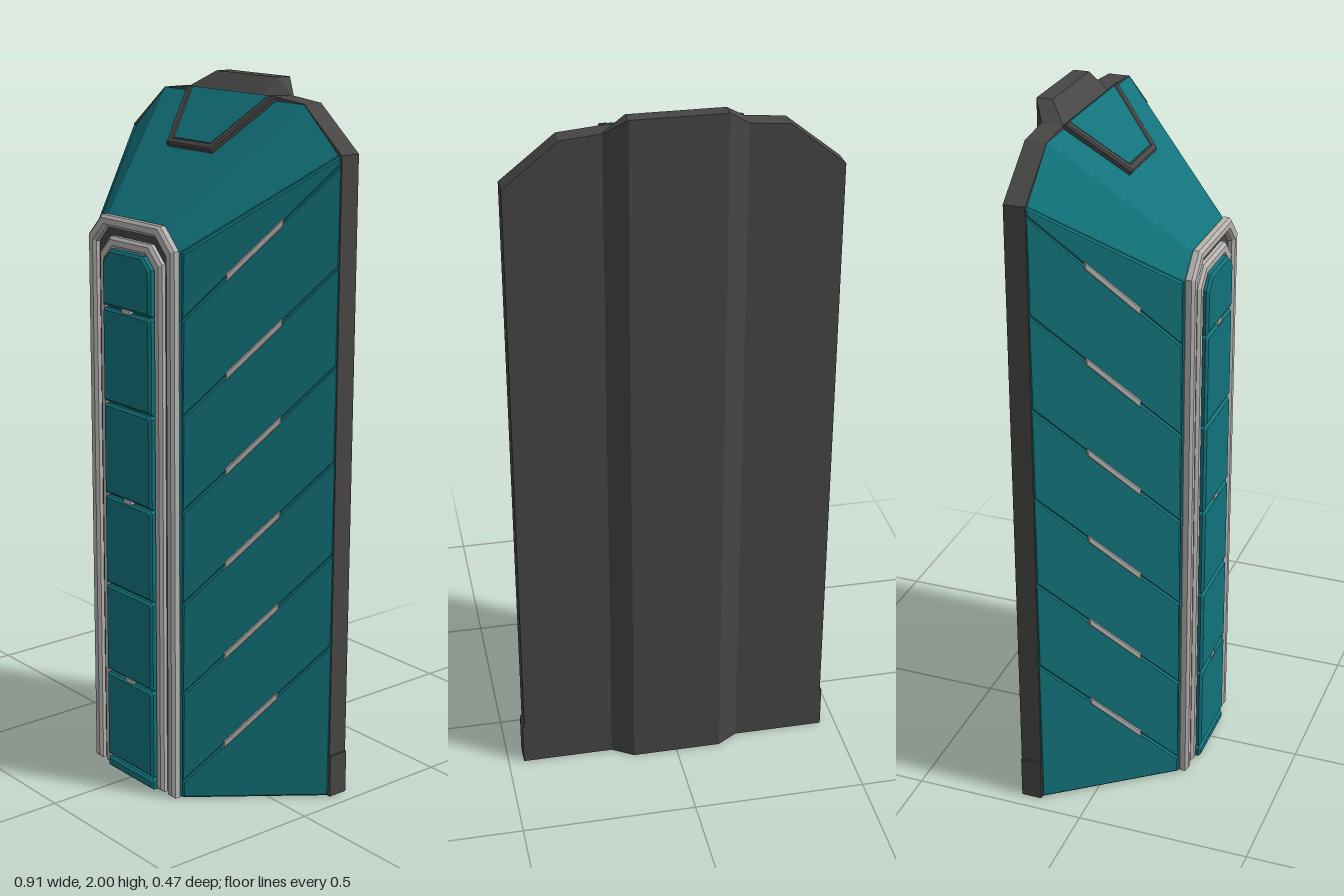
import * as THREE from 'three';

const teal = new THREE.MeshStandardMaterial({ color: 0x11727a });
teal.name = 'teal';
const dark = new THREE.MeshStandardMaterial({ color: 0x474645 });
dark.name = 'darkGrey';
const light = new THREE.MeshStandardMaterial({ color: 0xb6b3b0 });
light.name = 'lightGrey';

// Joins rings of equal length with flat quads and closes both ends
function loft(rings) {
  const pos = [];
  const tri = (...pts) => pts.forEach((p) => pos.push(...p));
  const n = rings[0].length;
  for (let r = 0; r + 1 < rings.length; r++) {
    const a = rings[r], b = rings[r + 1];
    for (let i = 0; i < n; i++) {
      const j = (i + 1) % n;
      tri(a[i], b[i], b[j]);
      tri(a[i], b[j], a[j]);
    }
  }
  const first = rings[0], last = rings[rings.length - 1];
  for (let i = 1; i + 1 < n; i++) {
    tri(first[0], first[i], first[i + 1]);
    tri(last[0], last[i + 1], last[i]);
  }
  const g = new THREE.BufferGeometry();
  g.setAttribute('position', new THREE.Float32BufferAttribute(pos, 3));
  g.computeVertexNormals();
  return g;
}

// Plate with chamfered front edges, spanning z0 to z1 in its own frame
function plate(points, z0, z1, bevel) {
  const shape = new THREE.Shape(points.map(([x, y]) => new THREE.Vector2(x, y)));
  const g = new THREE.ExtrudeGeometry(shape, {
    depth: z1 - z0 - 2 * bevel, bevelEnabled: true, bevelThickness: bevel,
    bevelSize: bevel, bevelOffset: -bevel, bevelSegments: 1,
  });
  return g.translate(0, 0, z0 + bevel);
}

// Arch outline standing on the floor, with chamfered top corners
const arch = (w, top, cut, y0 = 0) => [
  [w, y0], [w, top - cut], [w - cut, top], [cut - w, top], [-w, top - cut], [-w, y0],
];

export function createModel() {
  const model = new THREE.Group();
  const add = (name, geometry, material, parent = model) => {
    const m = new THREE.Mesh(geometry, material);
    m.name = name;
    parent.add(m);
    return m;
  };

  // Back plate: cross-sections from left to right
  const stations = [
    [0.45, 1.825, 1.825, -0.197], [0.3, 1.945, 1.945, -0.197],
    [0.19, 1.955, 1.955, -0.197], [0.13, 1.955, 2.0, -0.235],
  ];
  const section = (s) => ([x, front, back, z]) => [
    [s * x, 0, -0.137], [s * x, 0, z], [s * x, back, z],
    [s * x, back, -0.19], [s * x, front, -0.137],
  ];
  add('backPlate', loft([...stations.map(section(1)), ...stations.slice().reverse().map(section(-1))]), dark);
  for (const s of [1, -1]) {
    const foot = add('plateFoot', new THREE.BoxGeometry(0.01, 0.125, 0.06), dark);
    foot.position.set(s * 0.45, 0.0625, -0.167);
  }

  // Body: tapers from the wide back to the narrow front
  const ring = (w, shoulder, tw, top, z) => [
    [-w, 0, z], [w, 0, z], [w, shoulder, z], [tw, top, z], [-tw, top, z], [-w, shoulder, z],
  ];
  add('body', loft([
    ring(0.187, 1.57, 0.13, 1.63, 0.197),
    ring(0.437, 1.825, 0.3, 1.945, -0.138),
  ]), teal);

  // Side cladding: slanted panels with light inlays in the gaps
  const L = Math.hypot(0.25, 0.334), rise = 0.41, pitch = 0.268, seams = 6;
  for (const s of [1, -1]) {
    const side = new THREE.Group();
    side.name = s > 0 ? 'leftCladding' : 'rightCladding';
    const frame = new THREE.Matrix4().makeBasis(
      new THREE.Vector3(0.25 / L, 0, (-s * 0.334) / L),
      new THREE.Vector3(0, 1, 0),
      new THREE.Vector3((s * 0.334) / L, 0, 0.25 / L),
    ).setPosition(s * 0.2, 0, 0.197);
    const onSide = (name, pts, z0, z1, bevel, mat) =>
      add(name, plate(pts.map(([u, y]) => [s * u, y]), z0, z1, bevel).applyMatrix4(frame), mat, side);
    for (let k = 0; k <= seams; k++) {
      const low = 0.05 + (k - 1) * pitch, high = 0.05 + k * pitch;
      const a = k === 0 ? [0, 0] : [low, low + rise];
      const b = k === seams ? [1.57, 1.825] : [high, high + rise];
      onSide('sidePanel', [[0, a[0]], [L, a[1]], [L, b[1]], [0, b[0]]], -0.016, 0, 0.006, teal);
      if (k === seams) continue;
      const at = (f, d) => [f * L, high + f * rise + d];
      onSide('sideInlay', [at(0.28, -0.011), at(0.64, -0.011), at(0.64, 0.011), at(0.28, 0.011)],
        -0.014, 0.004, 0.003, light);
    }
    model.add(side);
  }

  // Front trim: two nested arches over a dark backing
  add('trimBacking', plate(arch(0.175, 1.62, 0.05), 0.19, 0.203, 0.002), dark);
  const band = (w, top, cut, t) => [...arch(w, top, cut), ...arch(w - t, top - t, cut - t * 0.4).reverse()];
  add('outerTrim', plate(band(0.19, 1.635, 0.06, 0.032), 0.19, 0.222, 0.008), light);
  add('innerTrim', plate(band(0.138, 1.58, 0.048, 0.032), 0.19, 0.222, 0.008), light);

  // Front panels, stacked, with small light clips on every second gap
  const gaps = [0, 0.035, 0.303, 0.572, 0.842, 1.112, 1.385];
  add('panelBacking', plate(arch(0.1, 1.54, 0.03), 0.195, 0.22, 0.002), teal);
  gaps.forEach((y, i) => {
    const top = i === gaps.length - 1;
    const y0 = y + (i ? 0.003 : 0), y1 = top ? 1.547 : gaps[i + 1] - 0.003;
    add('frontPanel', plate(arch(0.107, y1, top ? 0.034 : 0.008, y0), 0.2, 0.235, 0.007), teal);
    if (i > 1 && i % 2 === 0) {
      const clip = add('panelClip', new THREE.BoxGeometry(0.036, 0.012, 0.016), light);
      clip.position.set(0, y, 0.226);
    }
  });

  // Crest on the sloping top: open dark frame around a teal plate
  const slope = new THREE.Matrix4().makeBasis(
    new THREE.Vector3(1, 0, 0),
    new THREE.Vector3(0, 0.686, -0.7275),
    new THREE.Vector3(0, 0.7275, 0.686),
  ).setPosition(0, 1.63, 0.197);
  const crest = new THREE.Group();
  crest.name = 'crest';
  add('crestFrame', plate([
    [-0.19, 0.465], [-0.097, 0.258], [0.097, 0.258], [0.19, 0.465],
    [0.163, 0.465], [0.08, 0.281], [-0.08, 0.281], [-0.163, 0.465],
  ], -0.01, 0.016, 0.005).applyMatrix4(slope), dark, crest);
  add('crestPlate', plate([[-0.166, 0.465], [-0.082, 0.278], [0.082, 0.278], [0.166, 0.465]],
    -0.01, 0.014, 0.003).applyMatrix4(slope), teal, crest);
  model.add(crest);

  return model;
}
